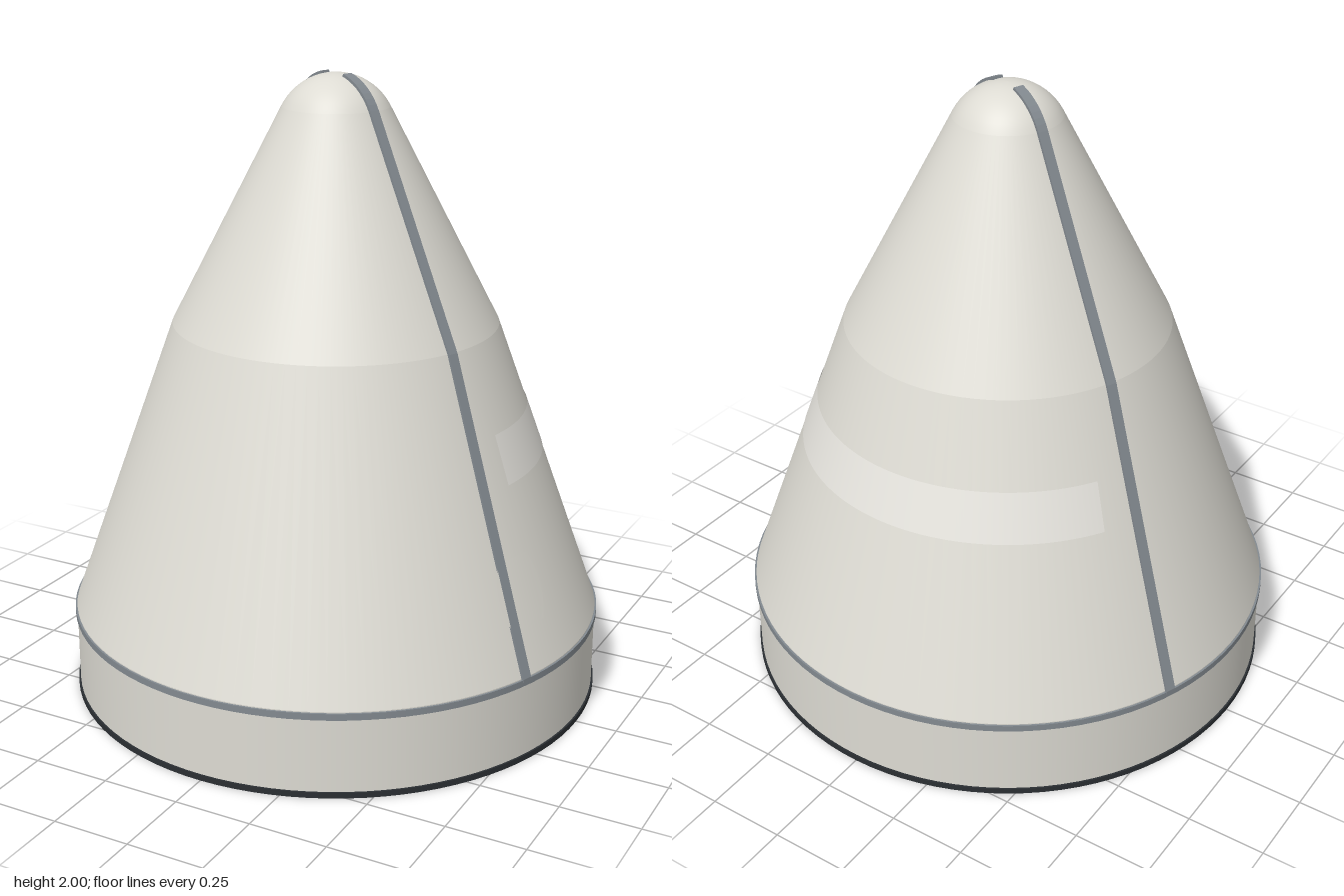
import * as THREE from 'three';

const SEG = 96;
const DEG = Math.PI / 180;
const SEAM = 69.4 * DEG; // direction of the split line, measured from +z towards +x
const NOSE_R = 0.19, NOSE_Y = 1.81, NOSE_EDGE = 27.6 * DEG;
const BASE = [0.86, 0.28], KNEE = [0.52, 1.22];

const lowerRadius = (y) =>
  BASE[0] + ((KNEE[0] - BASE[0]) * (y - BASE[1])) / (KNEE[1] - BASE[1]);

// Points along the nose cap, from its tangent circle up to the given angle
function noseArc(end, steps, offset = 0) {
  const pts = [];
  for (let i = 0; i <= steps; i++) {
    const a = NOSE_EDGE + ((end - NOSE_EDGE) * i) / steps;
    pts.push([Math.max(0, (NOSE_R + offset) * Math.cos(a)), NOSE_Y + (NOSE_R + offset) * Math.sin(a)]);
  }
  return pts;
}

export function createModel() {
  const group = new THREE.Group();
  const material = (name, color, side = THREE.FrontSide) => {
    const m = new THREE.MeshStandardMaterial({ color, side });
    m.name = name;
    return m;
  };
  const shell = material('shellWhite', 0xdddbd3, THREE.DoubleSide);
  const pale = material('paleBand', 0xe6e4de, THREE.DoubleSide);
  const deckGrey = material('deckGrey', 0xb4b3ad, THREE.DoubleSide);
  const seamGrey = material('seamGrey', 0x838a90, THREE.DoubleSide);
  const dark = material('darkMetal', 0x2b2f33, THREE.DoubleSide);

  const add = (name, geometry, mat) => {
    const mesh = new THREE.Mesh(geometry, mat);
    mesh.name = name;
    group.add(mesh);
    return mesh;
  };
  const lathe = (name, pts, mat, start = 0, length = Math.PI * 2) =>
    add(name, new THREE.LatheGeometry(pts.map(([x, y]) => new THREE.Vector2(x, y)), SEG, start, length), mat);
  // Closed band with square edges
  const ring = (name, inner, outer, y0, y1, mat) => {
    const corners = [[inner, y0], [outer, y0], [outer, y1], [inner, y1]];
    corners.forEach((p, i) => lathe(name, [p, corners[(i + 1) % 4]], mat));
  };

  // Shell: skirt, two cones and a round nose
  const nose = noseArc(Math.PI / 2, 12);
  lathe('skirt', [[0.86, 0.01], BASE], shell);
  lathe('lowerCone', [BASE, KNEE], shell);
  lathe('upperCone', [KNEE, nose[0]], shell);
  lathe('noseCap', nose, shell);

  // Rings around the skirt
  ring('bottomRing', 0.842, 0.866, 0, 0.018, dark);
  ring('separationRing', 0.85, 0.866, 0.256, 0.277, seamGrey);

  // Pale band on the rear half shell
  const bandR = (y) => lowerRadius(y) + 0.002;
  lathe('paleBand', [[bandR(0.81), 0.81], [bandR(0.96), 0.96]], pale, SEAM + 10 * DEG, 160 * DEG);

  // Seam strips, one on each side of the split
  const tipAngle = 75 * DEG;
  const path = (o) => [
    [BASE[0] + o, 0.27], [BASE[0] + o, BASE[1]], [KNEE[0] + o, KNEE[1]],
    ...noseArc(tipAngle, 8, o),
  ];
  const outline = [...path(0.008), ...path(-0.012).reverse()];
  const stripGeometry = new THREE.ExtrudeGeometry(
    new THREE.Shape(outline.map(([x, y]) => new THREE.Vector2(x, y))),
    { depth: 0.034, bevelEnabled: false }
  ).translate(0, 0, -0.017);
  for (const turn of [0, Math.PI]) {
    add('seamStrip', stripGeometry, seamGrey).rotation.y = SEAM - Math.PI / 2 + turn;
  }

  // Access hatch: a tapered patch wrapped on the lower cone
  const hatch = new THREE.PlaneGeometry(2, 2, 8, 6);
  const pos = hatch.attributes.position;
  for (let i = 0; i < pos.count; i++) {
    const u = pos.getX(i), v = pos.getY(i);
    const y = 0.515 + 0.1 * v;
    const phi = 73.8 * DEG + u * 7.3 * DEG * (1 - 0.3 * v * v);
    const r = lowerRadius(y) + 0.005;
    pos.setXYZ(i, r * Math.sin(phi), y, r * Math.cos(phi));
  }
  hatch.computeVertexNormals();
  add('accessHatch', hatch, shell);

  // Dished deck inside the skirt with a central opening
  lathe('deck', [[0.305, 0.005], [0.855, 0.25]], deckGrey);
  ring('openingRim', 0.298, 0.312, 0.002, 0.03, seamGrey);

  // Small latches round the deck edge
  for (let i = 0; i < 4; i++) {
    const a = i * Math.PI / 2;
    const latch = add('latch', new THREE.BoxGeometry(0.07, 0.03, 0.04), dark);
    latch.position.set(0.82 * Math.sin(a), 0.225, 0.82 * Math.cos(a));
    latch.rotation.y = a;
  }
  return group;
}
